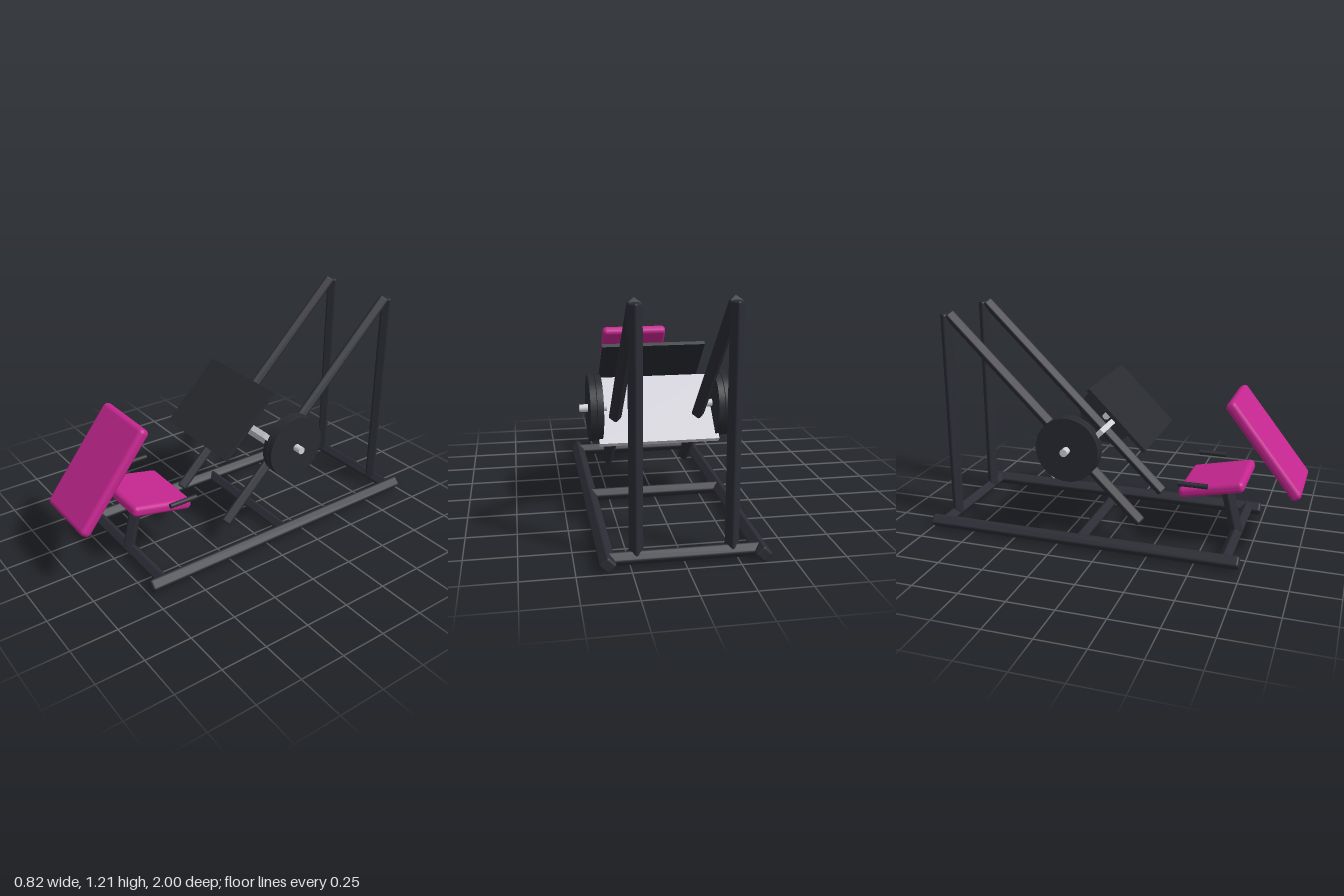
import * as THREE from 'three';
import { RoundedBoxGeometry } from 'three/addons/geometries/RoundedBoxGeometry.js';

export function createModel() {
  const model = new THREE.Group();
  model.name = 'legPressMachine';

  const material = (name, color) => {
    const m = new THREE.MeshStandardMaterial({ color });
    m.name = name;
    return m;
  };
  const frameDark = material('frameDark', 0x2c2d35);
  const plateDark = material('plateDark', 0x292b31);
  const padMagenta = material('padMagenta', 0xc4268f);
  const steel = material('steel', 0xd2d0d8);

  const add = (name, geometry, mat, x, y, z, tilt = 0) => {
    const mesh = new THREE.Mesh(geometry, mat);
    mesh.name = name;
    mesh.position.set(x, y, z);
    mesh.rotation.x = tilt;
    model.add(mesh);
    return mesh;
  };

  // Square tube set on its edge, running from one point to another
  const up = new THREE.Vector3(0, 1, 0);
  const bar = (name, from, to, side) => {
    const a = new THREE.Vector3(...from);
    const dir = new THREE.Vector3(...to).sub(a);
    const geometry = new RoundedBoxGeometry(side, dir.length(), side, 2, side * 0.2);
    geometry.rotateY(Math.PI / 4);
    const mesh = add(name, geometry, frameDark, 0, 0, 0);
    mesh.position.copy(a).addScaledVector(dir, 0.5);
    mesh.quaternion.setFromUnitVectors(up, dir.normalize());
  };

  // Cylinder lying along x
  const disc = (name, radius, x0, x1, y, z, mat) => {
    const geometry = new THREE.CylinderGeometry(radius, radius, Math.abs(x1 - x0), 40);
    geometry.rotateZ(Math.PI / 2);
    add(name, geometry, mat, (x0 + x1) / 2, y, z);
  };

  for (const [side, s] of [['left', 1], ['right', -1]]) {
    // Base rail, upright and sloping guide
    bar(side + 'BaseRail', [0.357 * s, 0.038, 0.735], [0.357 * s, 0.038, -0.997], 0.06);
    bar(side + 'Upright', [0.222 * s, 0.035, -0.917], [0.222 * s, 1.19, -0.917], 0.053);
    bar(side + 'GuideRail', [0.222 * s, 0.128, 0.177], [0.222 * s, 1.19, -0.9], 0.053);

    // Weight discs on a short axle
    disc(side + 'Axle', 0.02, 0.265 * s, 0.408 * s, 0.541, -0.184, steel);
    disc(side + 'InnerWeight', 0.172, 0.297 * s, 0.329 * s, 0.541, -0.184, plateDark);
    disc(side + 'OuterWeight', 0.172, 0.332 * s, 0.364 * s, 0.541, -0.184, plateDark);

    // Hand grip beside the seat
    const grip = new THREE.CylinderGeometry(0.0135, 0.0135, 0.155, 16);
    add(side + 'Handle', grip, frameDark, 0.253 * s, 0.387, 0.462, Math.PI / 2);
  }

  // Cross members of the base
  for (const [name, z] of [['front', 0.654], ['middle', -0.13], ['rear', -0.928]]) {
    bar(name + 'CrossBar', [-0.357, 0.039, z], [0.357, 0.039, z], 0.053);
  }

  // Carriage plate, square to the guide rails, and foot plate
  add('carriagePlate', new THREE.BoxGeometry(0.63, 0.4, 0.03), steel, 0, 0.508, -0.147, Math.PI / 4);
  add('footPlate', new THREE.BoxGeometry(0.55, 0.43, 0.02), plateDark, 0, 0.698, 0.057, -Math.PI / 4);

  // Seat, its post and the back pad
  bar('seatPost', [0, 0.045, 0.655], [0, 0.315, 0.59], 0.057);
  add('seat', new RoundedBoxGeometry(0.39, 0.06, 0.35, 5, 0.025), padMagenta, 0, 0.34, 0.542, -0.21);
  add('backPad', new RoundedBoxGeometry(0.39, 0.6, 0.06, 5, 0.025), padMagenta, 0, 0.578, 0.803, -0.665);

  return model;
}
